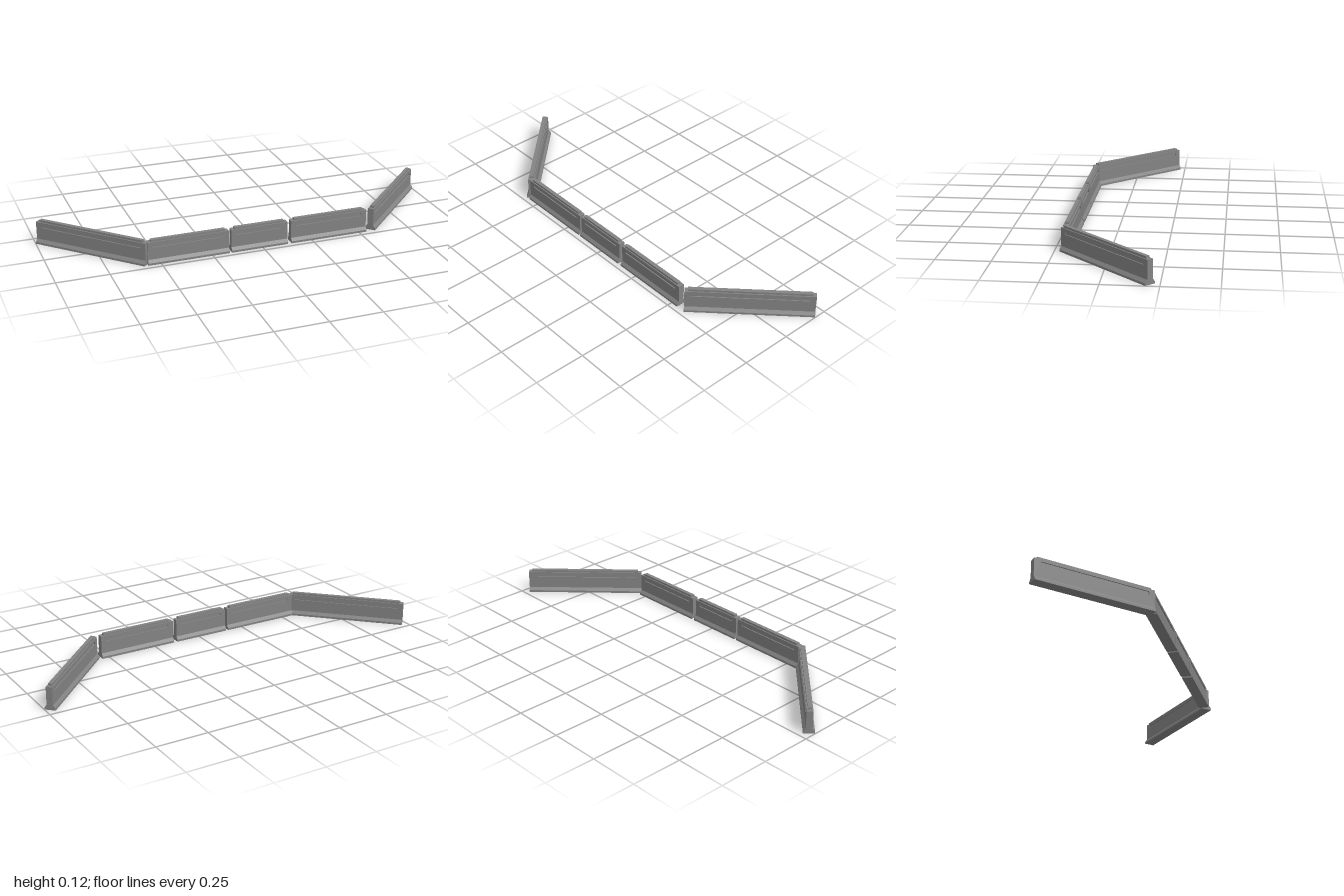
import * as THREE from 'three';

const material = new THREE.MeshStandardMaterial({ color: 0x838383, flatShading: true });

const BASE = 0.026, WALL = 0.0148, CORE = 0.0095; // half thicknesses
const FOOT = 0.01, SLOPE = 0.024, SHOULDER = 0.11, TOP = 0.12; // heights

function polygon(points, Type = THREE.Shape) {
  return new Type(points.map(([x, y]) => new THREE.Vector2(x, y)));
}

function addMesh(group, geometry, name) {
  const mesh = new THREE.Mesh(geometry, material);
  mesh.name = name;
  group.add(mesh);
}

// One straight barrier along x, centred on the origin
function makeBarrier(length, name) {
  const barrier = new THREE.Group();
  barrier.name = name;
  const h = length / 2;

  // Flared foot and inner core, swept along the length
  const half = [[BASE, 0], [BASE, FOOT], [WALL, SLOPE], [CORE, SLOPE], [CORE, SHOULDER]];
  const mirrored = half.map(([x, y]) => [-x, y]).reverse();
  const body = new THREE.ExtrudeGeometry(polygon([...half, ...mirrored]), { depth: length, bevelEnabled: false });
  body.translate(0, 0, -h).rotateY(Math.PI / 2);
  addMesh(barrier, body, 'footAndCore');

  // Outer skins, each with a long slot that leaves a shallow groove
  const face = polygon([[-h, SLOPE], [h, SLOPE], [h, SHOULDER], [-h, SHOULDER]]);
  const low = h - 0.025, high = h - 0.031;
  face.holes.push(polygon([[-low, 0.083], [-high, 0.098], [high, 0.098], [low, 0.083]], THREE.Path));
  for (const side of [0, 1]) {
    const skin = new THREE.ExtrudeGeometry(face, { depth: WALL - CORE, bevelEnabled: false });
    skin.translate(0, 0, CORE).rotateY(side * Math.PI);
    addMesh(barrier, skin, side ? 'backSkin' : 'frontSkin');
  }

  // Narrow cap, set in from the ends
  const cap = new THREE.BoxGeometry(length - 0.033, TOP - SHOULDER, CORE * 2);
  cap.translate(0, (TOP + SHOULDER) / 2, 0);
  addMesh(barrier, cap, 'cap');
  return barrier;
}

export function createModel() {
  const model = new THREE.Group();
  model.name = 'barrierRow';

  // Front row: right end and left end of each barrier in x
  const row = [[-0.562, -0.168], [-0.156, 0.126], [0.145, 0.536]];
  row.forEach(([a, b], i) => {
    const barrier = makeBarrier(b - a, `frontBarrier${i + 1}`);
    barrier.position.set((a + b) / 2, 0, 0.2);
    model.add(barrier);
  });

  // Angled wings at 45 degrees
  for (const s of [1, -1]) {
    const wing = makeBarrier(0.59, s > 0 ? 'leftWing' : 'rightWing');
    wing.position.set(s * 0.772, 0, 0);
    wing.rotation.y = s * Math.PI / 4;
    model.add(wing);
  }
  return model;
}
